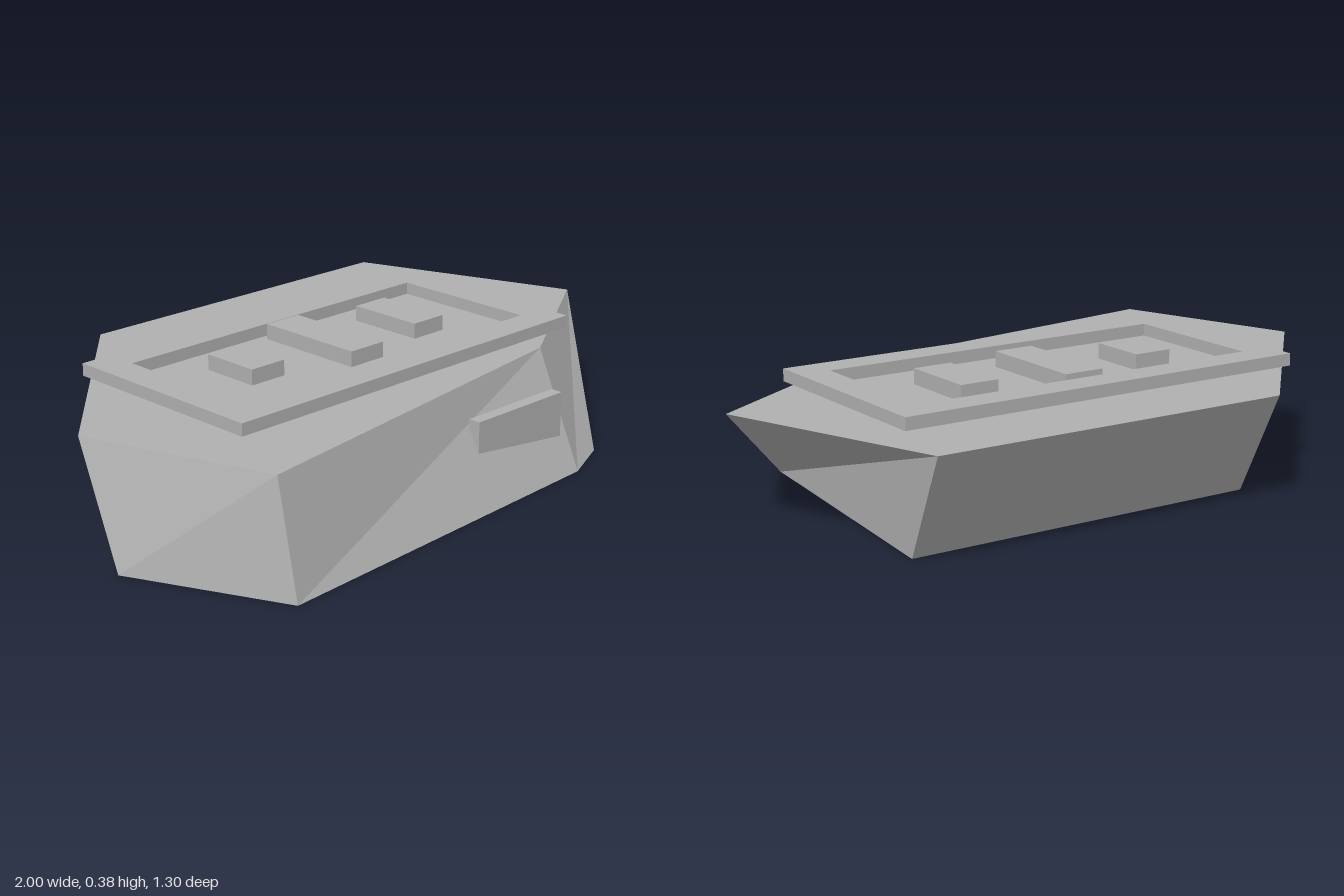
import * as THREE from 'three';

const DECK = 0.333;

// Matching corners of the hull, [x, z], counter-clockwise seen from above
const BASE = [[0.715, -0.455], [-0.42, -0.453], [-1, 0.18], [-0.787, 0.648], [0.44, 0.565], [0.61, 0.49]];
const TOP = [[0.75, -0.648], [-0.385, -0.655], [-0.965, -0.015], [-0.773, 0.56], [0.48, 0.37], [1, 0.045]];

function hullGeometry() {
  const low = BASE.map(([x, z]) => [x, 0, z]);
  const high = TOP.map(([x, z]) => [x, DECK, z]);
  const tris = [];
  const n = low.length;
  for (let i = 0; i < n; i++) {
    const j = (i + 1) % n;
    // Two facets per side
    tris.push(low[i], low[j], high[j], low[i], high[j], high[i]);
    // Deck and underside fans
    if (i > 0 && i < n - 1) tris.push(high[0], high[i], high[j], low[0], low[j], low[i]);
  }
  const g = new THREE.BufferGeometry();
  g.setAttribute('position', new THREE.Float32BufferAttribute(tris.flat(), 3));
  g.computeVertexNormals();
  return g;
}

// Rectangle path in the XY plane; y stands for -z
const rect = (Path, x0, x1, z0, z1) => new Path([
  new THREE.Vector2(x0, -z1), new THREE.Vector2(x1, -z1),
  new THREE.Vector2(x1, -z0), new THREE.Vector2(x0, -z0),
]);

export function createModel() {
  const model = new THREE.Group();
  const stone = new THREE.MeshStandardMaterial({ color: 0xb0b0b0, flatShading: true });
  stone.name = 'stoneGrey';

  function add(name, geometry) {
    const mesh = new THREE.Mesh(geometry, stone);
    mesh.name = name;
    model.add(mesh);
    return mesh;
  }
  function box(name, x0, x1, y0, y1, z0, z1) {
    const mesh = add(name, new THREE.BoxGeometry(x1 - x0, y1 - y0, z1 - z0));
    mesh.position.set((x0 + x1) / 2, (y0 + y1) / 2, (z0 + z1) / 2);
  }

  // Faceted slab body
  add('hull', hullGeometry());

  // Raised rectangular rim on the deck
  const rim = rect(THREE.Shape, -0.657, 0.69, -0.39, 0.297);
  rim.holes.push(rect(THREE.Path, -0.555, 0.59, -0.29, 0.197));
  const rimGeometry = new THREE.ExtrudeGeometry(rim, { depth: 0.038, bevelEnabled: false });
  rimGeometry.rotateX(-Math.PI / 2);
  add('deckRim', rimGeometry).position.y = DECK;

  // Three blocks inside the rim
  [
    ['rightBlock', -0.365, -0.24, -0.175, 0.015],
    ['middleBlock', -0.05, 0.08, -0.265, 0.1],
    ['leftBlock', 0.272, 0.397, -0.205, 0.047],
  ].forEach(([name, x0, x1, z0, z1]) => box(name, x0, x1, DECK - 0.01, 0.381, z0, z1));

  // Upright plaque set into the sloping front
  box('frontPlaque', 0.058, 0.421, 0.07, 0.241, 0.468, 0.507);

  return model;
}
